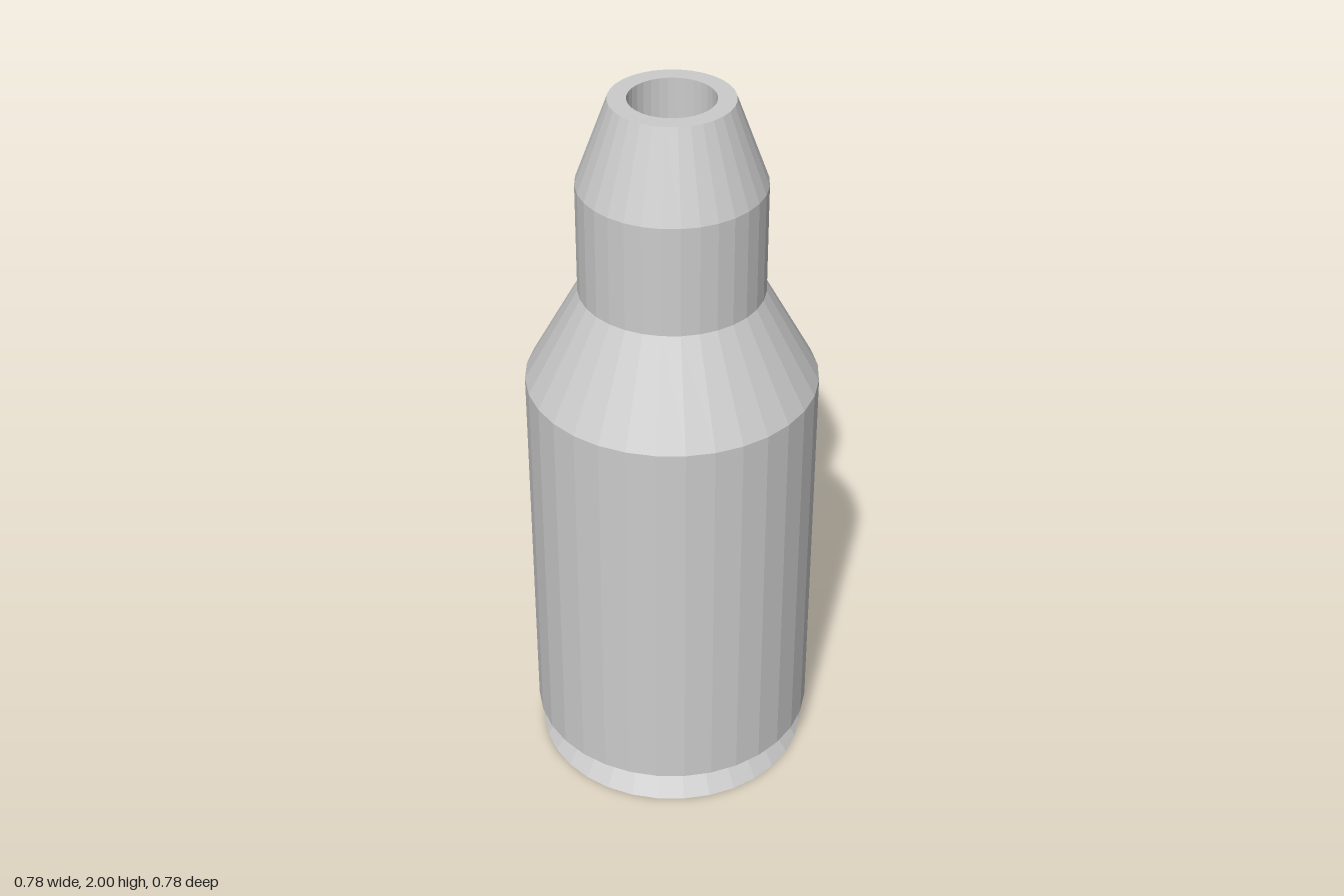
import * as THREE from 'three';

const SIDES = 32;

// Faceted turned part from [radius, height] pairs, listed bottom to top along the outside
function turned(name, profile, material) {
  const points = profile.map(([r, y]) => new THREE.Vector2(r, y));
  const mesh = new THREE.Mesh(new THREE.LatheGeometry(points, SIDES), material);
  mesh.name = name;
  return mesh;
}

export function createModel() {
  const group = new THREE.Group();
  group.name = 'cartridge';
  const material = new THREE.MeshStandardMaterial({ color: 0xcccccc, flatShading: true });

  // Flat base with a rim that tapers into the extractor groove
  group.add(turned('rim', [[0, 0], [0.378, 0], [0.342, 0.053]], material));

  // Flare out of the groove, straight body, shoulder and neck
  group.add(turned('case', [
    [0.342, 0.053], [0.391, 0.1], [0.391, 1.2], [0.246, 1.465], [0.246, 1.77],
  ], material));

  // Tapered tip with a flat lip and a blind bore
  group.add(turned('bulletTip', [
    [0.246, 1.77], [0.161, 2], [0.113, 2], [0.113, 1.77], [0, 1.77],
  ], material));

  return group;
}
